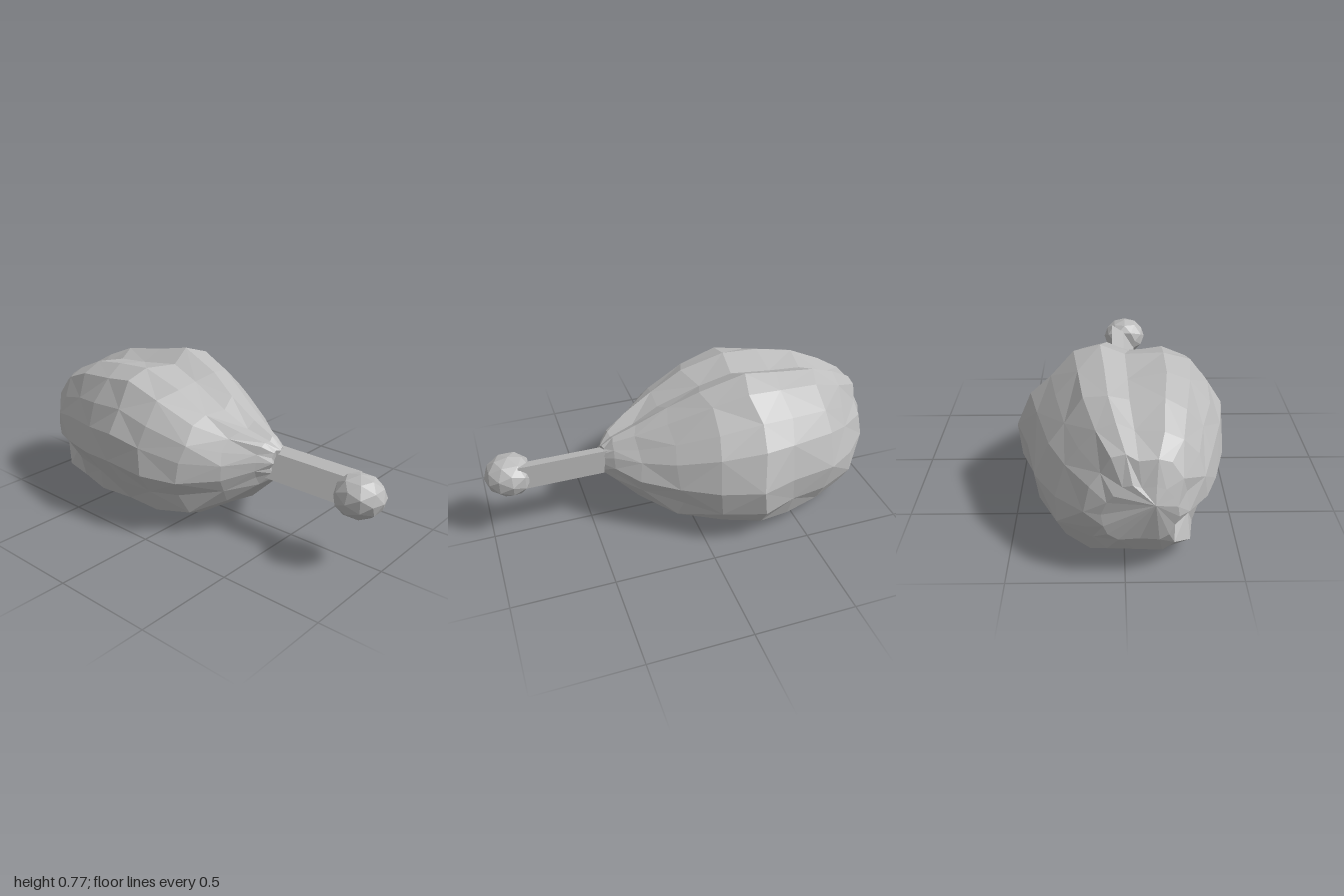
import * as THREE from 'three';

// Small seeded generator for the hand-cut irregularity, returns -1..1
function makeNoise(seed) {
  let s = seed;
  return () => {
    s = (s * 16807) % 2147483647;
    return (s / 2147483647) * 2 - 1;
  };
}

// Faceted skin over rings of points, closed with a fan at each end
function loft(rings, startTip, endTip) {
  const n = rings[0].length;
  const pos = [];
  const tri = (...pts) => pts.forEach((p) => pos.push(p.x, p.y, p.z));
  for (let j = 0; j < n; j++) {
    const k = (j + 1) % n;
    tri(startTip, rings[0][j], rings[0][k]);
    for (let i = 0; i < rings.length - 1; i++) {
      const a = rings[i][j], b = rings[i][k], c = rings[i + 1][k], d = rings[i + 1][j];
      if ((i + j) % 2) { tri(a, d, c); tri(a, c, b); }
      else { tri(a, d, b); tri(d, c, b); }
    }
    const last = rings[rings.length - 1];
    tri(endTip, last[k], last[j]);
  }
  const geo = new THREE.BufferGeometry();
  geo.setAttribute('position', new THREE.Float32BufferAttribute(pos, 3));
  geo.computeVertexNormals();
  return geo;
}

// Lumpy meat: a flat-bottomed outline scaled along x
function meatGeometry() {
  // outline (z, y) in -1..1, from the bottom round the front, top and back
  const outline = [
    [0, -1], [0.5, -1], [0.75, -0.84], [0.88, -0.5], [1, -0.18], [0.95, 0.2],
    [0.84, 0.5], [0.64, 0.8], [0.4, 0.92], [0.03, 0.86], [-0.2, 1], [-0.46, 0.91],
    [-0.68, 0.62], [-0.86, 0.35], [-1, -0.12], [-0.95, -0.5], [-0.84, -0.8], [-0.55, -1],
  ];
  // x, lowest y, highest y, back z, front z
  const stations = [
    [-0.97, 0.2, 0.46, -0.1, 0.22],
    [-0.92, 0.1, 0.58, -0.18, 0.27],
    [-0.8, 0.03, 0.65, -0.31, 0.37],
    [-0.65, 0, 0.72, -0.4, 0.42],
    [-0.45, 0, 0.75, -0.46, 0.47],
    [-0.27, 0, 0.78, -0.51, 0.5],
    [-0.08, 0.02, 0.71, -0.45, 0.48],
    [0.1, 0.07, 0.61, -0.33, 0.41],
    [0.26, 0.15, 0.53, -0.2, 0.26],
    [0.37, 0.25, 0.48, -0.1, 0.13],
    [0.42, 0.29, 0.44, -0.06, 0.07],
  ];
  const noise = makeNoise(4217);
  const rings = stations.map(([x, y0, y1, z0, z1], i) => {
    const amount = i > 0 && i < 9 ? 1 : 0.3;
    return outline.map(([u, v]) => {
      const shrink = 1 - 0.03 * amount * (1 + noise());
      const flat = v === -1 ? 1 : shrink;
      return new THREE.Vector3(
        x + 0.025 * amount * noise(),
        (y0 + y1) / 2 + v * flat * (y1 - y0) / 2,
        (z0 + z1) / 2 + u * shrink * (z1 - z0) / 2,
      );
    });
  });
  // small dent low on the thick end
  for (const [i, j] of [[1, 3], [2, 3]]) {
    rings[i][j].z -= 0.05;
    rings[i][j].x += 0.02;
  }
  return loft(rings, new THREE.Vector3(-1, 0.38, 0.12), new THREE.Vector3(0.41, 0.36, 0.02));
}

// Straight five-sided bone
function boneGeometry() {
  const section = [[0.025, 0.275], [0.085, 0.305], [0.02, 0.412], [-0.045, 0.43], [-0.045, 0.3]];
  const rings = [0.3, 0.84].map((x) => section.map(([z, y]) => new THREE.Vector3(x, y, z)));
  return loft(rings, new THREE.Vector3(0.3, 0.35, 0.02), new THREE.Vector3(0.84, 0.35, 0.02));
}

// Faceted knob, flattened where it meets the bone
function knobGeometry() {
  const geo = new THREE.IcosahedronGeometry(1, 1);
  const p = geo.attributes.position;
  for (let i = 0; i < p.count; i++) p.setX(i, Math.max(p.getX(i), -0.75));
  geo.scale(0.125, 0.103, 0.12);
  geo.translate(0.875, 0.35, 0.03);
  geo.computeVertexNormals();
  return geo;
}

export function createModel() {
  const group = new THREE.Group();
  group.name = 'drumstick';
  const grey = new THREE.MeshStandardMaterial({ color: 0xbcbcbc, flatShading: true });
  grey.name = 'plain grey';
  const parts = { meat: meatGeometry(), bone: boneGeometry(), boneKnob: knobGeometry() };
  for (const [name, geo] of Object.entries(parts)) {
    const mesh = new THREE.Mesh(geo, grey);
    mesh.name = name;
    group.add(mesh);
  }
  return group;
}
